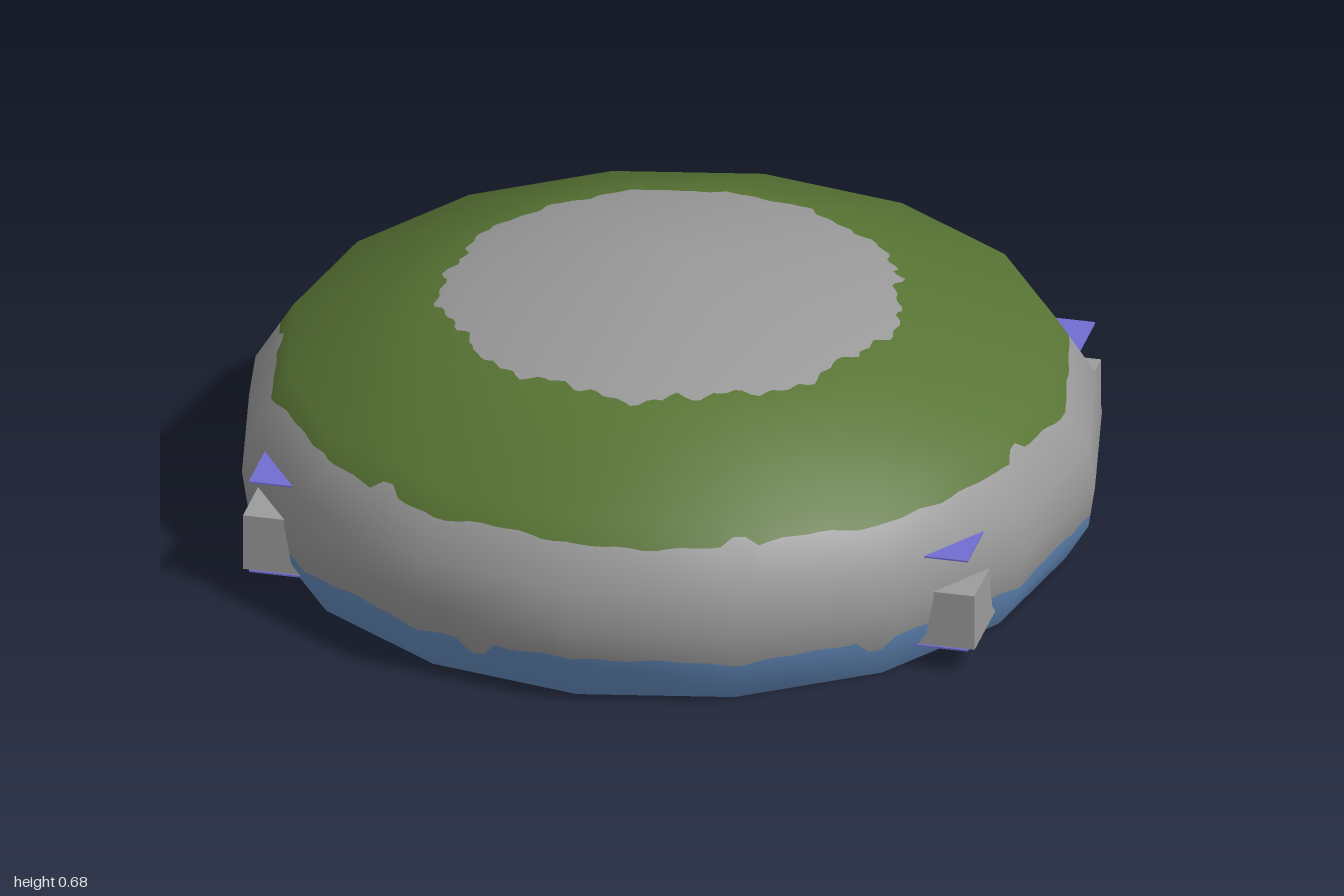
import * as THREE from 'three';

const mat = (name, color, side = THREE.FrontSide) => {
  const m = new THREE.MeshStandardMaterial({ color, side });
  m.name = name;
  return m;
};

// Dome profile as [radius, height], with smoothed normals at each point
const PROFILE = [[0.93, 0], [0.985, 0.09], [1, 0.19], [0.985, 0.29], [0.895, 0.435], [0.49, 0.585], [0, 0.683]];
const NORMALS = PROFILE.map((p, i) => {
  if (i === PROFILE.length - 1) return [0, 1];
  const n = new THREE.Vector2();
  for (const k of [i - 1, i]) {
    if (k < 0) continue;
    const [a, b] = [PROFILE[k], PROFILE[k + 1]];
    n.add(new THREE.Vector2(b[1] - a[1], a[0] - b[0]).normalize());
  }
  n.normalize();
  return [n.x, n.y];
});
const SIDES = 16, SUB = 12, COLS = SIDES * SUB;

// Ragged edge between two colours: ripples plus a few square notches
function ragged(base, size, notch, seed) {
  return (j) => {
    const t = (j / COLS) * Math.PI * 2;
    const wave = 0.5 * Math.sin(9 * t + seed) + 0.3 * Math.sin(23 * t + seed * 2.3) + 0.3 * Math.sin(47 * t + seed * 5);
    const cut = (j + seed * 5) % 27 < 2 ? notch : 0;
    return base + size * wave + cut;
  };
}

// One colour band of the sixteen-sided dome between two edge functions
function domeBand(lower, upper) {
  const pos = [], nor = [], idx = [];
  const rows = PROFILE.length + 2;
  for (let i = 0; i < rows; i++) {
    for (let j = 0; j <= COLS; j++) {
      const lo = lower(j % COLS), hi = upper(j % COLS);
      const y = i === 0 ? lo : i === rows - 1 ? hi : Math.min(hi, Math.max(lo, PROFILE[i - 1][1]));
      let k = 0;
      while (k < PROFILE.length - 2 && y > PROFILE[k + 1][1]) k++;
      const f = (y - PROFILE[k][1]) / (PROFILE[k + 1][1] - PROFILE[k][1]);
      const lerp = (arr, c) => arr[k][c] + (arr[k + 1][c] - arr[k][c]) * f;
      const r = lerp(PROFILE, 0);
      // straight chord between neighbouring corners
      const s = Math.floor(j / SUB), g = (j % SUB) / SUB, step = (Math.PI * 2) / SIDES;
      const sx = Math.sin(s * step) * (1 - g) + Math.sin((s + 1) * step) * g;
      const sz = Math.cos(s * step) * (1 - g) + Math.cos((s + 1) * step) * g;
      pos.push(r * sx, y, r * sz);
      const n = new THREE.Vector3(lerp(NORMALS, 0) * sx, lerp(NORMALS, 1), lerp(NORMALS, 0) * sz).normalize();
      nor.push(n.x, n.y, n.z);
    }
  }
  const w = COLS + 1;
  for (let i = 0; i < rows - 1; i++) {
    for (let j = 0; j < COLS; j++) {
      const a = i * w + j;
      idx.push(a, a + 1, a + w, a + 1, a + w + 1, a + w);
    }
  }
  const geo = new THREE.BufferGeometry();
  geo.setAttribute('position', new THREE.Float32BufferAttribute(pos, 3));
  geo.setAttribute('normal', new THREE.Float32BufferAttribute(nor, 3));
  geo.setIndex(idx);
  return geo;
}

export function createModel() {
  const model = new THREE.Group();
  const rock = mat('rock grey', 0x999999, THREE.DoubleSide);
  const grass = mat('grass green', 0x587434, THREE.DoubleSide);
  const water = mat('water blue', 0x648cbe, THREE.DoubleSide);
  const violet = mat('slab violet', 0x716ed2);
  const wall = mat('wall grey', 0x9c9c9c);

  const add = (parent, name, geo, material, x = 0, y = 0, z = 0) => {
    const m = new THREE.Mesh(geo, material);
    m.name = name;
    m.position.set(x, y, z);
    parent.add(m);
    return m;
  };
  const box = (w, h, d) => new THREE.BoxGeometry(w, h, d);

  // Dome shell, open underneath
  const shore = ragged(0.116, 0.008, -0.035, 1);
  const grassFoot = ragged(0.382, 0.008, 0.02, 3);
  const grassTop = ragged(0.568, 0.008, 0.004, 4);
  const dome = new THREE.Group();
  dome.name = 'dome';
  add(dome, 'waterBand', domeBand(() => 0, shore), water);
  add(dome, 'rockBand', domeBand(shore, grassFoot), rock);
  add(dome, 'grassBand', domeBand(grassFoot, grassTop), grass);
  add(dome, 'rockCap', domeBand(grassTop, () => 0.683), rock);
  model.add(dome);

  // Hall inside, its corners breaking through the shell
  const hall = new THREE.Group();
  hall.name = 'hall';
  add(hall, 'hallWalls', box(1.73, 0.138, 1.23), wall, 0, 0.131, 0);
  add(hall, 'floorSlab', box(1.7, 0.004, 1.24), violet, 0, 0.06, 0);
  add(hall, 'upperSlab', box(1.7, 0.004, 1.24), violet, 0, 0.29, 0);

  // Posts, panel and slots on the long walls
  for (const turn of [0, Math.PI]) {
    const side = new THREE.Group();
    side.name = turn ? 'frontWallDetails' : 'backWallDetails';
    side.rotation.y = turn;
    for (const x of [0.12, -0.22, -0.42]) add(side, 'wallPost', box(0.025, 0.13, 0.02), wall, x, 0.13, -0.62);
    for (const x of [-0.32, -0.52]) add(side, 'wallSlot', box(0.06, 0.02, 0.008), wall, x, 0.13, -0.618);
    hall.add(side);
  }
  model.add(hall);
  return model;
}
